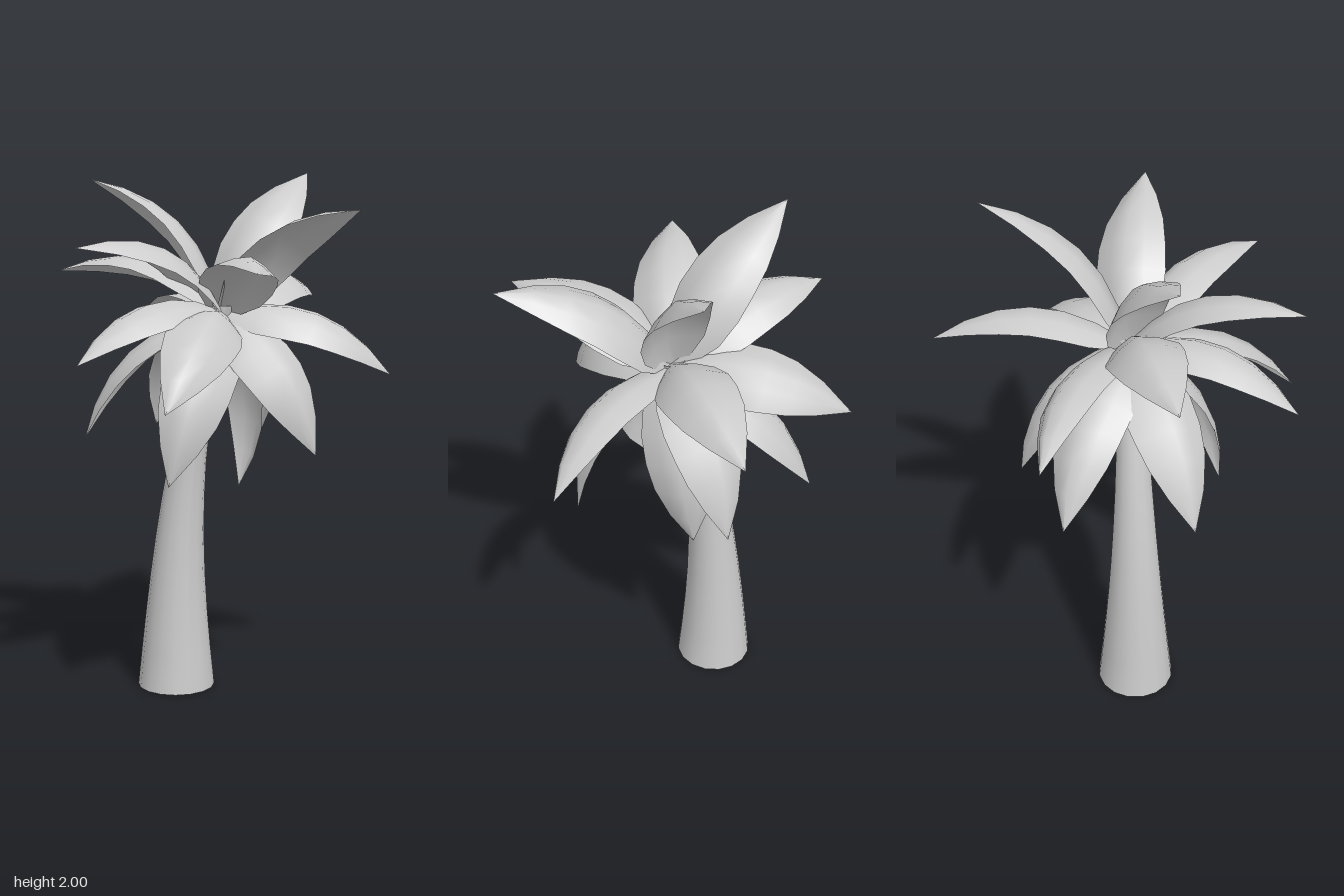
import * as THREE from 'three';

// Both the open trunk and the thin leaves show from either side
const material = new THREE.MeshStandardMaterial({ color: 0xcccccc, side: THREE.DoubleSide });

const HEIGHT = 1.5;
const CROWN = new THREE.Vector3(0.02, 1.48, 0);

// Every leaf from the highest to the lowest: tip x, y, z and roll about its length
const LEAVES = [
  [0.49, 2.0, -0.23, 0.35], [-0.39, 1.97, -0.32, 0.35], [0.31, 1.85, 0.54, -0.3],
  [-0.6, 1.72, 0.16, -0.2], [-0.13, 1.64, 0.65, -0.25], [-0.48, 1.62, -0.45, 0.2],
  [0.6, 1.5, -0.4, 0.25], [-0.06, 1.33, -0.65, 0.5], [-0.6, 1.31, 0.16, -0.15],
  [0.6, 1.24, 0.26, 0.4], [-0.4, 1.17, 0.5, -0.4], [-0.44, 0.985, -0.26, 0],
  [-0.05, 0.985, -0.52, 0.1], [0.315, 0.96, -0.29, 0], [0.275, 0.955, 0.29, 0.55],
  [-0.27, 0.86, 0.19, -0.55], [0.145, 0.78, -0.12, 0.6],
];

// Half width of a leaf at equal steps from stem to tip
const HALF_WIDTHS = [0.045, 0.118, 0.135, 0.13, 0.112, 0.07, 0];

// Leaning, tapering trunk, open at the ends
function createTrunk() {
  const geometry = new THREE.CylinderGeometry(1, 1, 1, 16, 10, true);
  const p = geometry.attributes.position;
  for (let i = 0; i < p.count; i++) {
    const t = p.getY(i) + 0.5;
    const r = 0.05 + 0.1 * Math.pow(1 - t, 1.6);
    const lean = Math.pow(t, 2.6);
    p.setXYZ(i, -0.11 + 0.13 * lean + r * p.getX(i), t * HEIGHT, -0.15 + 0.15 * lean + r * p.getZ(i));
  }
  geometry.computeVertexNormals();
  const trunk = new THREE.Mesh(geometry, material);
  trunk.name = 'trunk';
  return trunk;
}

// Arched leaf with its sides folded down from the midrib
function createLeaf([x, y, z, roll]) {
  const tip = new THREE.Vector3(x, y, z);
  const chord = tip.clone().sub(CROWN).normalize();
  const side = new THREE.Vector3(0, 1, 0).cross(chord).normalize().applyAxisAngle(chord, roll);
  const up = chord.clone().cross(side);
  const middle = CROWN.clone().lerp(tip, 0.5).addScaledVector(up, 0.25);
  const midrib = new THREE.QuadraticBezierCurve3(CROWN, middle, tip);

  const rows = HALF_WIDTHS.length - 1, columns = 4;
  const positions = [], indices = [];
  HALF_WIDTHS.forEach((width, row) => {
    const t = row / rows;
    const centre = midrib.getPoint(t);
    const normal = midrib.getTangent(t).cross(side).normalize();
    for (let c = 0; c <= columns; c++) {
      const s = (c / columns) * 2 - 1;
      const point = centre.clone()
        .addScaledVector(side, s * width)
        .addScaledVector(normal, -0.5 * width * Math.pow(Math.abs(s), 1.5));
      positions.push(point.x, point.y, point.z);
      if (row < rows && c < columns) {
        const a = row * (columns + 1) + c, b = a + columns + 1;
        indices.push(a, a + 1, b);
        if (row < rows - 1) indices.push(a + 1, b + 1, b);
      }
    }
  });
  const geometry = new THREE.BufferGeometry();
  geometry.setAttribute('position', new THREE.Float32BufferAttribute(positions, 3));
  geometry.setIndex(indices);
  geometry.computeVertexNormals();
  const leaf = new THREE.Mesh(geometry, material);
  leaf.name = 'leaf';
  return leaf;
}

export function createModel() {
  const palm = new THREE.Group();
  palm.name = 'palmTree';
  const crown = new THREE.Group();
  crown.name = 'crown';
  LEAVES.forEach((leaf) => crown.add(createLeaf(leaf)));
  palm.add(createTrunk(), crown);
  return palm;
}
